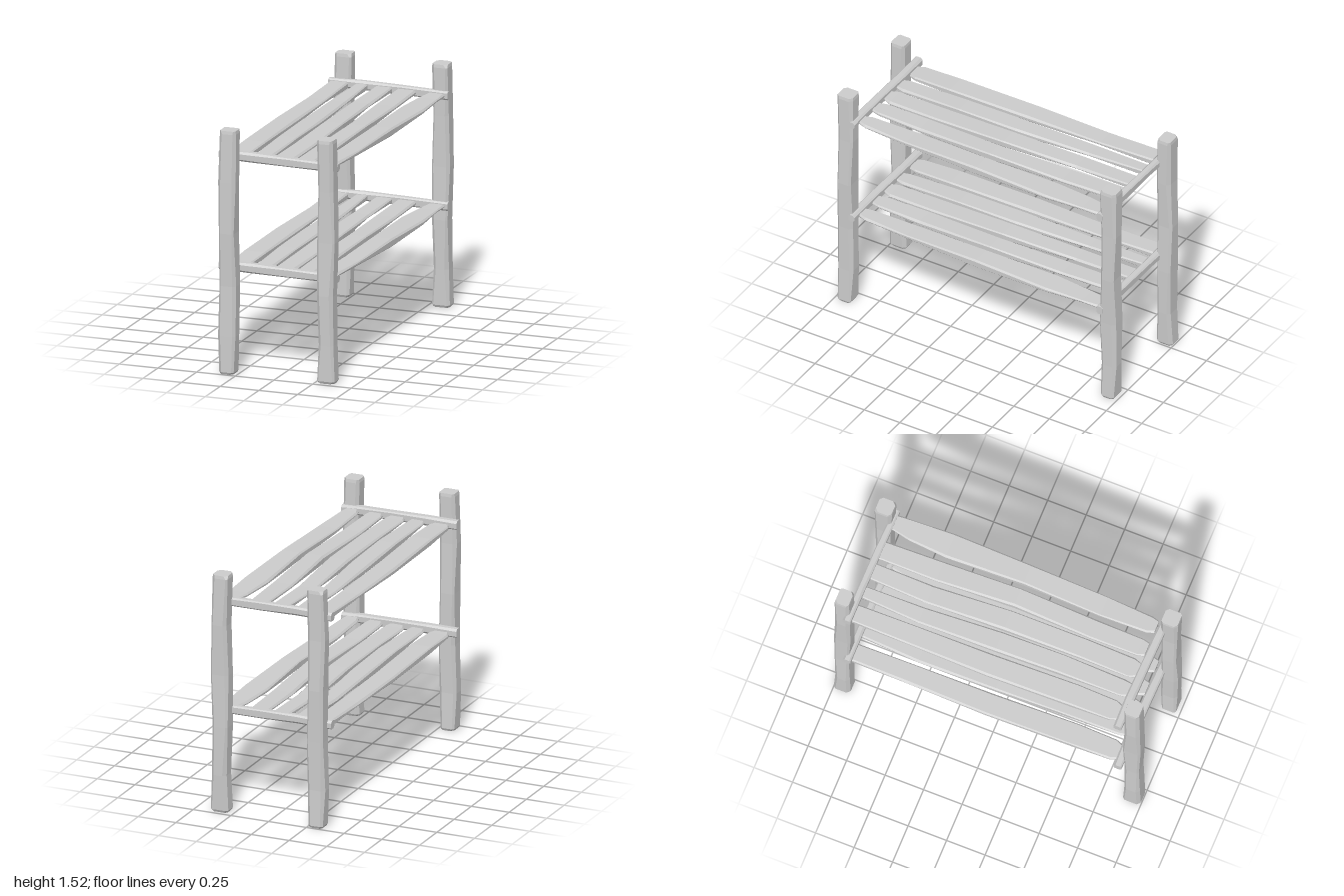
import * as THREE from 'three';

const material = new THREE.MeshStandardMaterial({ color: 0xcccccc, flatShading: true, side: THREE.DoubleSide });

// Where the (a, b, along) coordinates of a beam land for each direction
const AXES = {
  x: (a, b, t) => [t, a, b],
  y: (a, b, t) => [b, t, a],
  z: (a, b, t) => [a, b, t],
};

// Hewn timber: chamfered rectangles lofted through stations [along, a0, a1, b0, b1]
function timber(name, axis, stations, chamfer) {
  const pos = [], index = [], n = 8, place = AXES[axis];
  stations.forEach(([t, a0, a1, b0, b1], i) => {
    const c = chamfer * (1 + 0.35 * Math.sin(i * 2.3 + a0 * 9));
    const d = chamfer * (1 + 0.35 * Math.cos(i * 1.7 + b0 * 7));
    const ring = [
      [a0 + c, b0], [a1 - d, b0], [a1, b0 + d], [a1, b1 - c],
      [a1 - c, b1], [a0 + d, b1], [a0, b1 - d], [a0, b0 + c],
    ];
    ring.forEach(([a, b]) => pos.push(...place(a, b, t)));
  });
  for (let i = 0; i < stations.length - 1; i++) {
    for (let j = 0; j < n; j++) {
      const p = i * n + j, q = i * n + (j + 1) % n;
      index.push(p, q, q + n, p, q + n, p + n);
    }
  }
  // End caps
  const last = (stations.length - 1) * n;
  for (let j = 1; j < n - 1; j++) {
    index.push(0, j + 1, j, last, last + j, last + j + 1);
  }
  const geo = new THREE.BufferGeometry();
  geo.setAttribute('position', new THREE.Float32BufferAttribute(pos, 3));
  geo.setIndex(index);
  const flat = geo.toNonIndexed();
  flat.computeVertexNormals();
  const mesh = new THREE.Mesh(flat, material);
  mesh.name = name;
  return mesh;
}

// Upright with slightly uneven faces
function post(name, x0, x1, z0, z1, seed) {
  const heights = [0, 0.015, 0.24, 0.55, 0.88, 1.2, 1.5, 1.52];
  const wob = (i, k) => 0.006 * Math.sin(seed * 3.1 + i * 2.1 + k * 1.9);
  const stations = heights.map((y, i) => {
    const end = i === 0 ? 0.008 : i === heights.length - 1 ? 0.003 : 0;
    const s = i > 5 ? 6 : i < 2 ? 1 : i;
    return [y, z0 + wob(s, 0) + end, z1 + wob(s, 1) - end, x0 + wob(s, 2) + end, x1 + wob(s, 3) - end];
  });
  return timber(name, 'y', stations, 0.016);
}

// Plank outlines seen from above: [z, x0, x1]
const PLANKS = [
  [[-0.87, -0.365, -0.25], [-0.5, -0.37, -0.245], [0, -0.38, -0.24], [0.55, -0.37, -0.23], [0.8, -0.365, -0.235], [0.845, -0.35, -0.25]],
  [[-0.87, -0.2, -0.125], [-0.5, -0.22, -0.115], [0, -0.215, -0.088], [0.4, -0.205, -0.085], [0.8, -0.2, -0.09], [0.845, -0.19, -0.1]],
  [[-0.87, -0.07, 0.035], [-0.5, -0.085, 0.035], [0, -0.07, 0.058], [0.5, -0.065, 0.063], [0.8, -0.07, 0.058], [0.845, -0.055, 0.04]],
  [[-0.87, 0.07, 0.19], [-0.5, 0.068, 0.2], [0, 0.092, 0.21], [0.5, 0.075, 0.2], [0.8, 0.078, 0.19], [0.845, 0.09, 0.18]],
  [[-0.87, 0.275, 0.375], [-0.75, 0.25, 0.378], [-0.5, 0.23, 0.39], [0, 0.245, 0.375], [0.5, 0.23, 0.36], [0.8, 0.235, 0.345], [0.845, 0.25, 0.33]],
];

function shelf(name, y) {
  const g = new THREE.Group();
  g.name = name;
  PLANKS.forEach((outline, k) => {
    const stations = outline.map(([z, x0, x1], i) => {
      const top = 0.014 + 0.006 * Math.sin(z * 5 + k * 0.5);
      const low = -0.022 - 0.009 * Math.sin(z * 4 + 0.4 + k * 0.3);
      return [z, x0, x1, y + low, y + top];
    });
    g.add(timber('plank' + (k + 1), 'z', stations, 0.009));
  });
  // Cross rails tying each pair of posts together
  g.add(timber('frontRail', 'x', [
    [-0.4, y - 0.02, y + 0.033, 0.842, 0.893], [-0.2, y - 0.024, y + 0.035, 0.84, 0.897],
    [0.05, y - 0.025, y + 0.028, 0.848, 0.9], [0.25, y - 0.028, y + 0.025, 0.852, 0.905],
    [0.37, y - 0.025, y + 0.02, 0.855, 0.9],
  ], 0.01));
  g.add(timber('backRail', 'x', [
    [-0.38, y - 0.022, y + 0.03, -0.925, -0.875], [-0.15, y - 0.022, y + 0.033, -0.92, -0.873],
    [0.1, y - 0.026, y + 0.028, -0.915, -0.87], [0.395, y - 0.03, y + 0.023, -0.908, -0.865],
  ], 0.01));
  return g;
}

export function createModel() {
  const model = new THREE.Group();
  model.name = 'plankShelf';
  model.add(
    post('frontRightPost', -0.365, -0.26, 0.89, 0.993, 1),
    post('frontLeftPost', 0.268, 0.372, 0.878, 0.98, 2),
    post('backRightPost', -0.355, -0.248, -0.993, -0.895, 3),
    post('backLeftPost', 0.285, 0.39, -0.987, -0.885, 4),
    shelf('upperShelf', 1.335),
    shelf('lowerShelf', 0.643),
  );
  return model;
}
